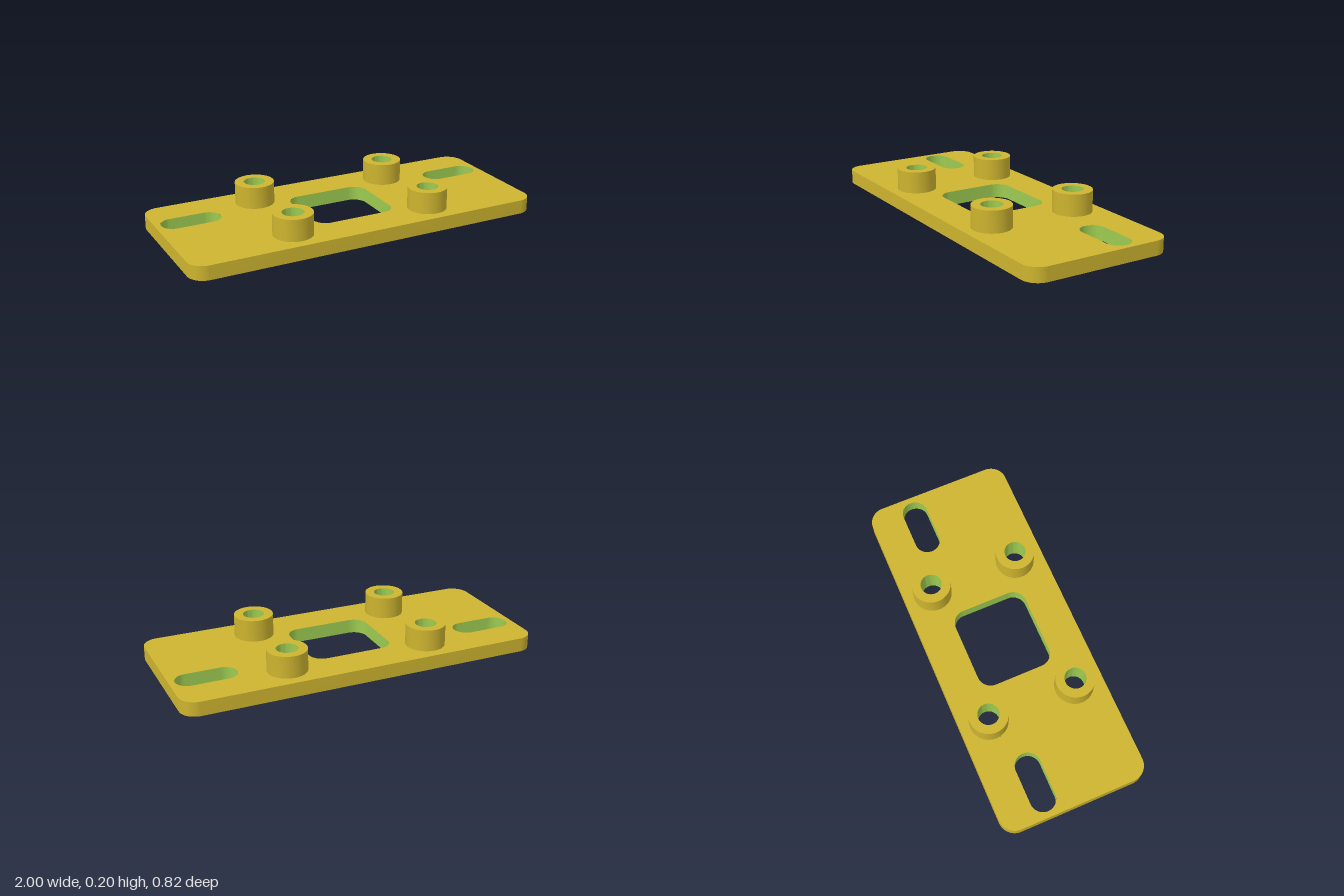
import * as THREE from 'three';
import { toCreasedNormals } from 'three/addons/utils/BufferGeometryUtils.js';

const THICK = 0.078, BOSS_TOP = 0.198;
const BOSS_R = 0.107, BORE_R = 0.058, RECESS_R = 0.1, RECESS_DEPTH = 0.048;
const BOSSES = [[-0.4, -0.25], [0.4, -0.25], [-0.4, 0.25], [0.4, 0.25]];
const SLOT_X = 0.803, SLOT_Z = -0.157;

// Counter-clockwise rounded rectangle centred on (cx, cy)
function roundedRect(PathType, cx, cy, halfW, halfH, r) {
  const p = new PathType();
  [[1, 1], [-1, 1], [-1, -1], [1, -1]].forEach(([sx, sy], i) => {
    const a = i * Math.PI / 2;
    p.absarc(cx + sx * (halfW - r), cy + sy * (halfH - r), r, a, a + Math.PI / 2, false);
  });
  p.closePath();
  return p;
}

const outline = () => roundedRect(THREE.Shape, 0, 0, 1, 0.411, 0.09);
const windowHole = () => roundedRect(THREE.Path, 0, 0, 0.232, 0.21, 0.075);
const slotHole = (side, y) => roundedRect(THREE.Path, side * SLOT_X, y, 0.165, 0.07, 0.07);

// Flat plate face with all openings; up = 1 for the top, -1 for the underside
function plateFace(up, roundHoleR) {
  const shape = outline();
  shape.holes.push(windowHole());
  for (const side of [-1, 1]) shape.holes.push(slotHole(side, -SLOT_Z * up));
  for (const [x, z] of BOSSES) {
    shape.holes.push(new THREE.Path().absarc(x, z, roundHoleR, 0, Math.PI * 2, false));
  }
  return new THREE.ShapeGeometry(shape, 16).rotateX(-up * Math.PI / 2);
}

// Upright wall along a closed path; inward walls line the openings
function wall(path, inward) {
  let pts = path.getPoints(12);
  pts = pts.filter((p, i) => i === 0 || p.distanceTo(pts[i - 1]) > 1e-5);
  if (pts[0].distanceTo(pts[pts.length - 1]) > 1e-5) pts.push(pts[0].clone());
  if (inward) pts.reverse();
  const g = new THREE.PlaneGeometry(1, 1, pts.length - 1, 1);
  const pos = g.attributes.position;
  for (let i = 0; i < pos.count; i++) {
    const p = pts[i % pts.length];
    pos.setXYZ(i, p.x, i < pts.length ? THICK : 0, -p.y);
  }
  return toCreasedNormals(g, 0.6);
}

function lathe(profile) {
  const pts = profile.map(([r, y]) => new THREE.Vector2(r, y));
  return toCreasedNormals(new THREE.LatheGeometry(pts, 48), 0.6);
}

export function createModel() {
  const model = new THREE.Group();
  model.name = 'mountingPlate';
  const yellow = new THREE.MeshStandardMaterial({ color: 0xcdb42f });
  yellow.name = 'yellow body';
  const green = new THREE.MeshStandardMaterial({ color: 0x9dcb51 });
  green.name = 'green cut surface';

  function add(name, geometry, material, x = 0, y = 0, z = 0) {
    const mesh = new THREE.Mesh(geometry, material);
    mesh.name = name;
    mesh.position.set(x, y, z);
    model.add(mesh);
  }

  // Plate skin
  add('plateTop', plateFace(1, BOSS_R), yellow, 0, THICK, 0);
  add('plateUnderside', plateFace(-1, RECESS_R), yellow);
  add('plateEdge', wall(outline(), false), yellow);

  // Lining of the central window and the two slots
  add('windowWall', wall(windowHole(), true), green);
  for (const side of [-1, 1]) {
    add(side > 0 ? 'leftSlotWall' : 'rightSlotWall', wall(slotHole(side, -SLOT_Z), true), green);
  }

  // Hollow bosses with a wider recess underneath
  const boss = lathe([[BOSS_R, THICK], [BOSS_R, BOSS_TOP], [BORE_R, BOSS_TOP]]);
  const bore = lathe([[BORE_R, BOSS_TOP], [BORE_R, RECESS_DEPTH], [RECESS_R, RECESS_DEPTH], [RECESS_R, 0]]);
  for (const [x, z] of BOSSES) {
    add('boss', boss, yellow, x, 0, z);
    add('bossBore', bore, green, x, 0, z);
  }
  return model;
}
